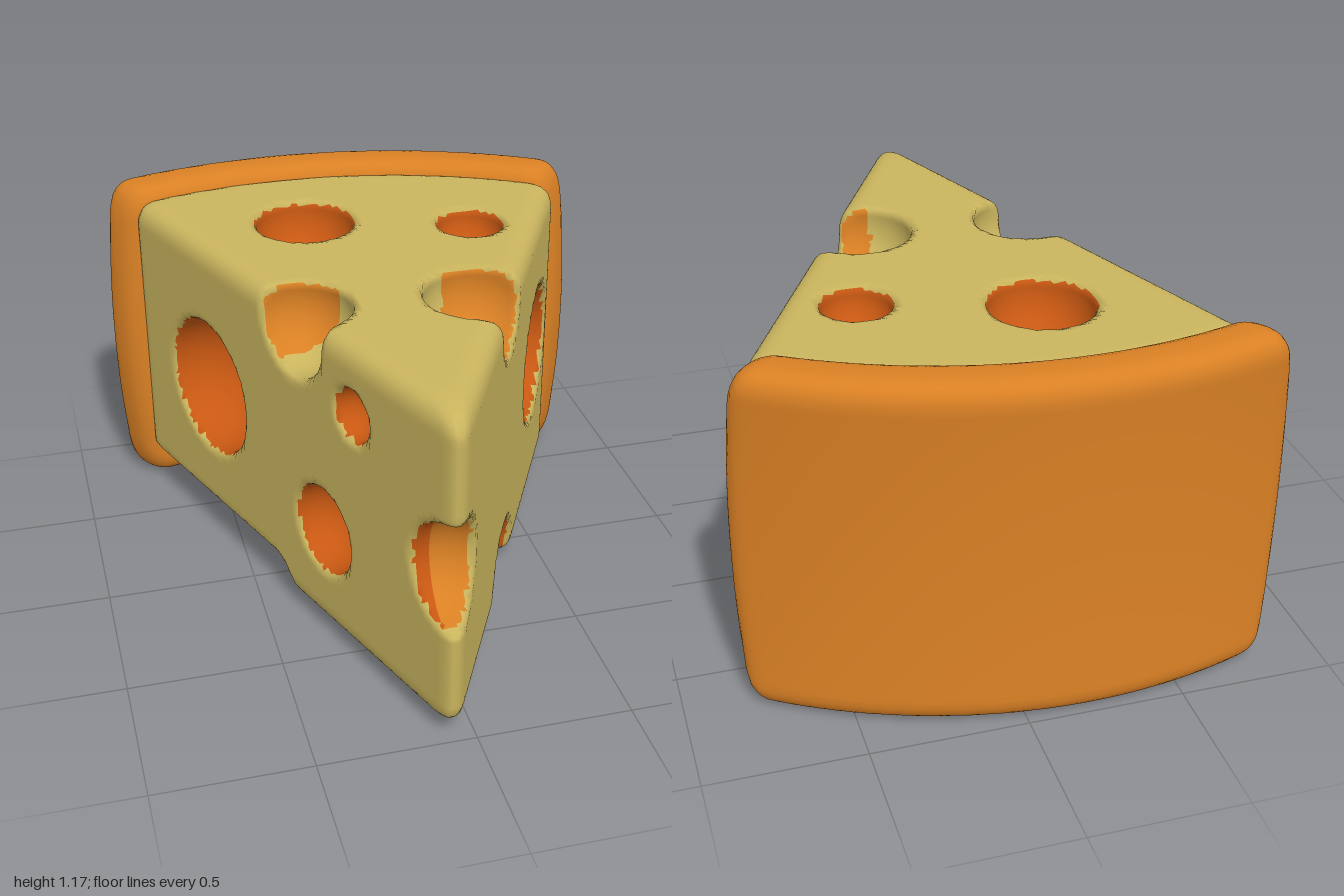
import * as THREE from 'three';

const material = (name, color) => new THREE.MeshStandardMaterial({ name, color });

// Smooth maximum: joins two distance fields with a rounded edge of size k
function smoothMax(a, b, k) {
  const h = Math.max(k - Math.abs(a - b), 0) / k;
  return Math.max(a, b) + h * h * k * 0.25;
}
const blend = (k, ...d) => d.reduce((a, b) => smoothMax(a, b, k));

// Wedge walls as lines in plan: the outward normal and a point on the line
const tip = [-0.08, 1.05];
function wall(x, z, side) {
  const dx = x - tip[0], dz = z - tip[1], l = Math.hypot(dx, dz);
  const nx = -dz / l * side, nz = dx / l * side;
  return (px, pz) => (px - tip[0]) * nx + (pz - tip[1]) * nz;
}
const leftWall = wall(0.74, -0.55, 1);
const rightWall = wall(-0.73, -0.7, -1);
const arc = (x, z) => Math.hypot(x + 0.2, z - 0.75);

// Colour slots: 0 cheese, 1 deep hole, 2 rind
const deep = () => 1;
const holes = [
  { c: [0.565, 0.6, -0.26], r: 0.24, slot: deep },
  { c: [-0.555, 0.6, -0.31], r: 0.24, slot: deep },
  { c: [-0.31, 0.4, 0.36], r: 0.15, slot: deep },
  { c: [-0.25, 0.9, 0.52], r: 0.085, slot: deep },
  { c: [0.26, 0.09, 0.29], r: 0.175, slot: deep },
  { c: [-0.08, 0.58, 0.98], r: 0.18, slot: p => (p.x > -0.1 ? 2 : 1) },
  { c: [0.21, 1.07, 0.25], r: 0.18, slot: p => (p.x > 0.13 ? 2 : 0) },
  { c: [-0.35, 1.06, 0.2], r: 0.17, slot: (p, n) => (n.z > 0.5 ? 2 : 0) },
];
// The same pair of holes in the top and the bottom face
for (const y of [1.1, 0.06]) {
  holes.push({ c: [-0.2, y, -0.43], r: 0.165, slot: deep });
  holes.push({ c: [0.34, y, -0.28], r: 0.11, slot: deep });
}
const holeDistance = (h, x, y, z) => Math.hypot(x - h.c[0], y - h.c[1], z - h.c[2]) - h.r;

// Groove along the lower edge of one wall, running back to the rind
function groove(x, y, z) {
  const ax = -0.46, az = 0.08, dx = -0.32, dz = -0.85;
  const t = Math.min(1, Math.max(0, ((x - ax) * dx + (z - az) * dz) / (dx * dx + dz * dz)));
  return Math.hypot(x - ax - t * dx, y - 0.04, z - az - t * dz) - 0.11;
}

function cheeseField(x, y, z) {
  let d = blend(0.08, leftWall(x, z), rightWall(x, z), y - 1.125, 0.04 - y, arc(x, z) - 1.61);
  for (const h of holes) d = smoothMax(d, -holeDistance(h, x, y, z), 0.03);
  return smoothMax(d, -groove(x, y, z), 0.03);
}
function cheeseSlot(p, n) {
  for (const h of holes) if (holeDistance(h, p.x, p.y, p.z) < 0.005) return h.slot(p, n);
  return groove(p.x, p.y, p.z) < 0.005 ? 2 : 0;
}

// Curved slab with bulging ends and a slightly hollow back
function rindField(x, y, z) {
  const t = ((y - 0.583) / 0.583) ** 2;
  const radius = arc(x, z);
  return blend(0.09,
    radius - 1.735 - 0.02 * t, 1.56 - radius, y - 1.167, -y,
    0.7 * x + 0.714 * z - 0.145 + 0.05 * t,
    -0.862 * x + 0.507 * z - 0.32 + 0.05 * t);
}

// Skin a distance field: one vertex per crossed cell, one quad per crossed edge
function skin(field, slotOf) {
  const s = 0.022, origin = [-0.95, -0.06, -1.08], size = [87, 60, 99];
  const stride = [1, size[0], size[0] * size[1]];
  const values = new Float32Array(size[0] * size[1] * size[2]);
  const each = (from, fn) => {
    for (let k = from; k < size[2] - 1; k++)
      for (let j = from; j < size[1] - 1; j++)
        for (let i = from; i < size[0] - 1; i++) fn(i, j, k, i + j * stride[1] + k * stride[2]);
  };
  values.fill(1);
  each(0, (i, j, k, id) => {
    values[id] = field(origin[0] + i * s, origin[1] + j * s, origin[2] + k * s);
  });
  const gradient = (p, e = 0.003) => new THREE.Vector3(
    field(p.x + e, p.y, p.z) - field(p.x - e, p.y, p.z),
    field(p.x, p.y + e, p.z) - field(p.x, p.y - e, p.z),
    field(p.x, p.y, p.z + e) - field(p.x, p.y, p.z - e)).normalize();

  const points = [], normals = [], cell = new Int32Array(values.length).fill(-1);
  each(0, (i, j, k, id) => {
    const sum = new THREE.Vector3();
    let count = 0;
    for (let a = 0; a < 3; a++) {
      const b = (a + 1) % 3, c = (a + 2) % 3;
      for (let q = 0; q < 4; q++) {
        const o = [0, 0, 0];
        o[b] = q & 1;
        o[c] = q >> 1;
        const v = id + o[b] * stride[b] + o[c] * stride[c];
        const f = values[v], g = values[v + stride[a]];
        if ((f < 0) === (g < 0)) continue;
        o[a] = f / (f - g);
        sum.add(new THREE.Vector3(...o));
        count++;
      }
    }
    if (!count) return;
    const p = sum.divideScalar(count).add(new THREE.Vector3(i, j, k)).multiplyScalar(s)
      .add(new THREE.Vector3(...origin));
    for (let n = 0; n < 2; n++) {
      const step = THREE.MathUtils.clamp(field(p.x, p.y, p.z), -0.008, 0.008);
      p.addScaledVector(gradient(p), -step);
    }
    cell[id] = points.length;
    points.push(p);
    normals.push(gradient(p));
  });

  const slots = [[], [], []];
  each(1, (i, j, k, id) => {
    for (let a = 0; a < 3; a++) {
      const inside = values[id] < 0;
      if (inside === (values[id + stride[a]] < 0)) continue;
      const b = stride[(a + 1) % 3], c = stride[(a + 2) % 3];
      const quad = [id - b - c, id - c, id, id - b].map(n => cell[n]);
      if (!inside) quad.reverse();
      const mid = new THREE.Vector3(), n = new THREE.Vector3();
      quad.forEach(v => { mid.addScaledVector(points[v], 0.25); n.add(normals[v]); });
      const [p, q, r, t] = quad;
      slots[slotOf(mid, n.normalize())].push(p, q, r, p, r, t);
    }
  });

  const geometry = new THREE.BufferGeometry().setFromPoints(points);
  geometry.setAttribute('normal',
    new THREE.Float32BufferAttribute(normals.flatMap(n => n.toArray()), 3));
  geometry.setIndex(slots.flat());
  let start = 0;
  slots.forEach((list, m) => {
    if (list.length) geometry.addGroup(start, list.length, m);
    start += list.length;
  });
  return geometry;
}

export function createModel() {
  const materials = [
    material('paleCheese', 0xcab55e),
    material('deepHole', 0xc85812),
    material('orangeRind', 0xd98024),
  ];
  const model = new THREE.Group();
  model.name = 'cheeseWedge';

  // Wedge body with its holes
  const body = new THREE.Mesh(skin(cheeseField, cheeseSlot), materials);
  body.name = 'cheeseBody';

  // Rind across the back
  const rind = new THREE.Mesh(skin(rindField, () => 2), materials);
  rind.name = 'rind';

  model.add(body, rind);
  return model;
}
